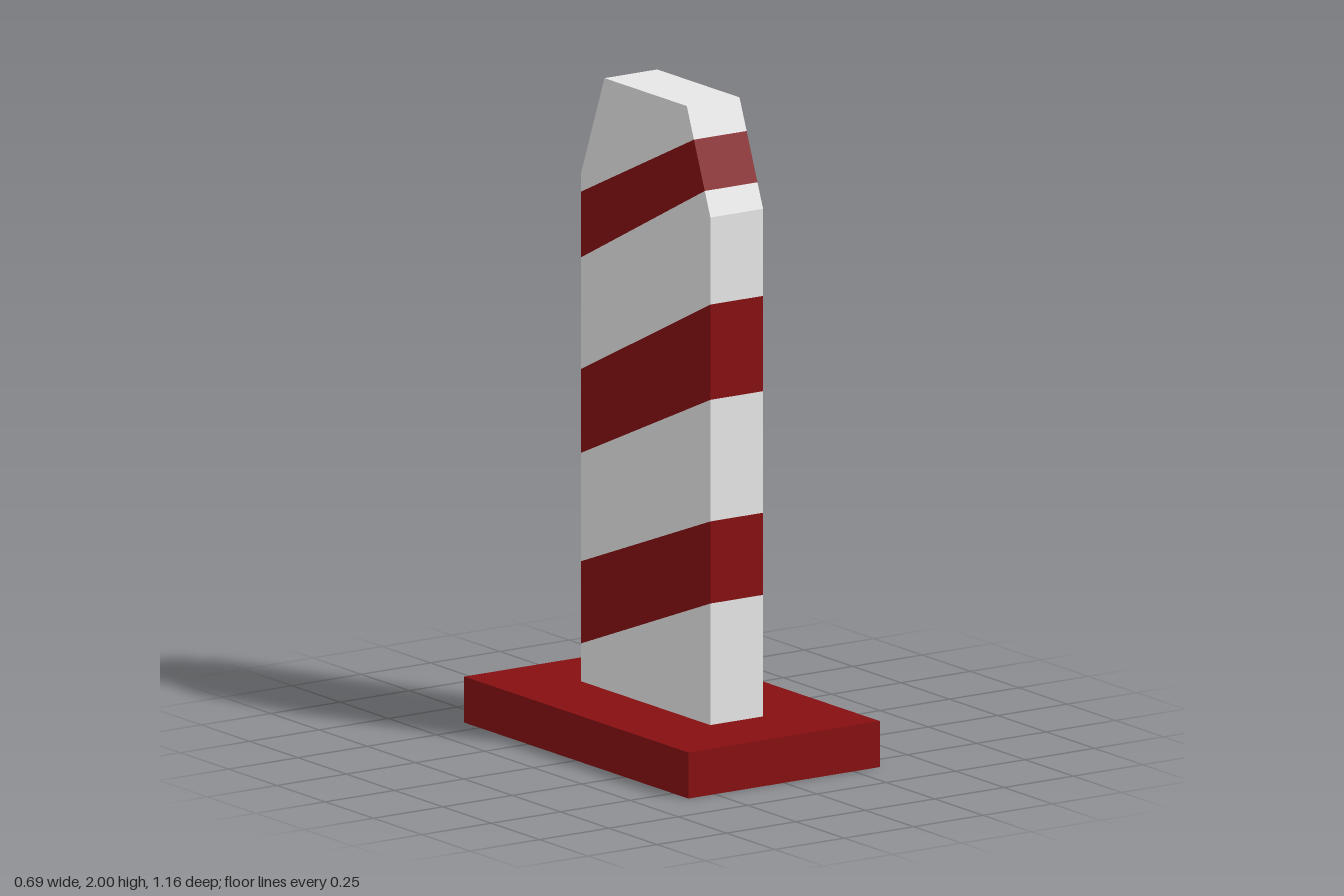
import * as THREE from 'three';

const HALF = 0.095; // half thickness of the post

// A slice of the post: front edge and back edge are [z, y] points, bottom to top.
function sliceGeometry(front, back) {
  const outline = [...back, ...[...front].reverse()]; // loop: up the back, down the front
  const pos = [];
  const tri = (a, b, c) => pos.push(...a, ...b, ...c);
  const at = (x, [z, y]) => [x, y, z];
  // Broad sides as fans
  for (let i = 1; i < outline.length - 1; i++) {
    const [a, b, c] = [outline[0], outline[i], outline[i + 1]];
    tri(at(HALF, a), at(HALF, b), at(HALF, c));
    tri(at(-HALF, a), at(-HALF, c), at(-HALF, b));
  }
  // Narrow walls along the front and back edges
  const wall = (p, q) => {
    tri(at(-HALF, p), at(HALF, p), at(HALF, q));
    tri(at(-HALF, p), at(HALF, q), at(-HALF, q));
  };
  for (let i = 0; i < front.length - 1; i++) wall(front[i], front[i + 1]);
  for (let i = 0; i < back.length - 1; i++) wall(back[i + 1], back[i]);
  const geo = new THREE.BufferGeometry();
  geo.setAttribute('position', new THREE.Float32BufferAttribute(pos, 3));
  geo.computeVertexNormals();
  return geo;
}

export function createModel() {
  const red = new THREE.MeshStandardMaterial({ color: 0x850f11 });
  red.name = 'dark red';
  const white = new THREE.MeshStandardMaterial({ color: 0xe6e6e6 });
  white.name = 'off white';

  const group = new THREE.Group();
  group.name = 'stripedMarkerPost';
  const add = (name, geo, mat) => {
    const mesh = new THREE.Mesh(geo, mat);
    mesh.name = name;
    group.add(mesh);
    return mesh;
  };

  // Base slab
  add('base', new THREE.BoxGeometry(0.69, 0.14, 1.16), red).position.y = 0.07;

  // Post outline: straight to the shoulder, then tapering to the flat top
  const W = 0.335, TOP = 0.213, SHOULDER = 1.685;
  const edgeZ = (y) => (y <= SHOULDER ? W : W + ((TOP - W) * (y - SHOULDER)) / (2 - SHOULDER));
  const edge = (sign, y0, y1) => {
    const ys = y0 < SHOULDER && y1 > SHOULDER ? [y0, SHOULDER, y1] : [y0, y1];
    return ys.map((y) => [sign * edgeZ(y), y]);
  };

  // Slanted colour boundaries: [height at front, height at back]
  const cuts = [
    [0.14, 0.14], [0.51, 0.255], [0.76, 0.505], [1.13, 0.835],
    [1.42, 1.09], [1.76, 1.43], [1.905, 1.63], [2, 2],
  ];
  for (let i = 0; i < cuts.length - 1; i++) {
    const [f0, b0] = cuts[i], [f1, b1] = cuts[i + 1];
    const striped = i % 2 === 1;
    add(striped ? 'redStripe' : 'whiteBand', sliceGeometry(edge(1, f0, f1), edge(-1, b0, b1)), striped ? red : white);
  }

  // Flat top
  const cap = add('postTop', new THREE.PlaneGeometry(HALF * 2, TOP * 2), white);
  cap.rotation.x = -Math.PI / 2;
  cap.position.y = 2;
  return group;
}
